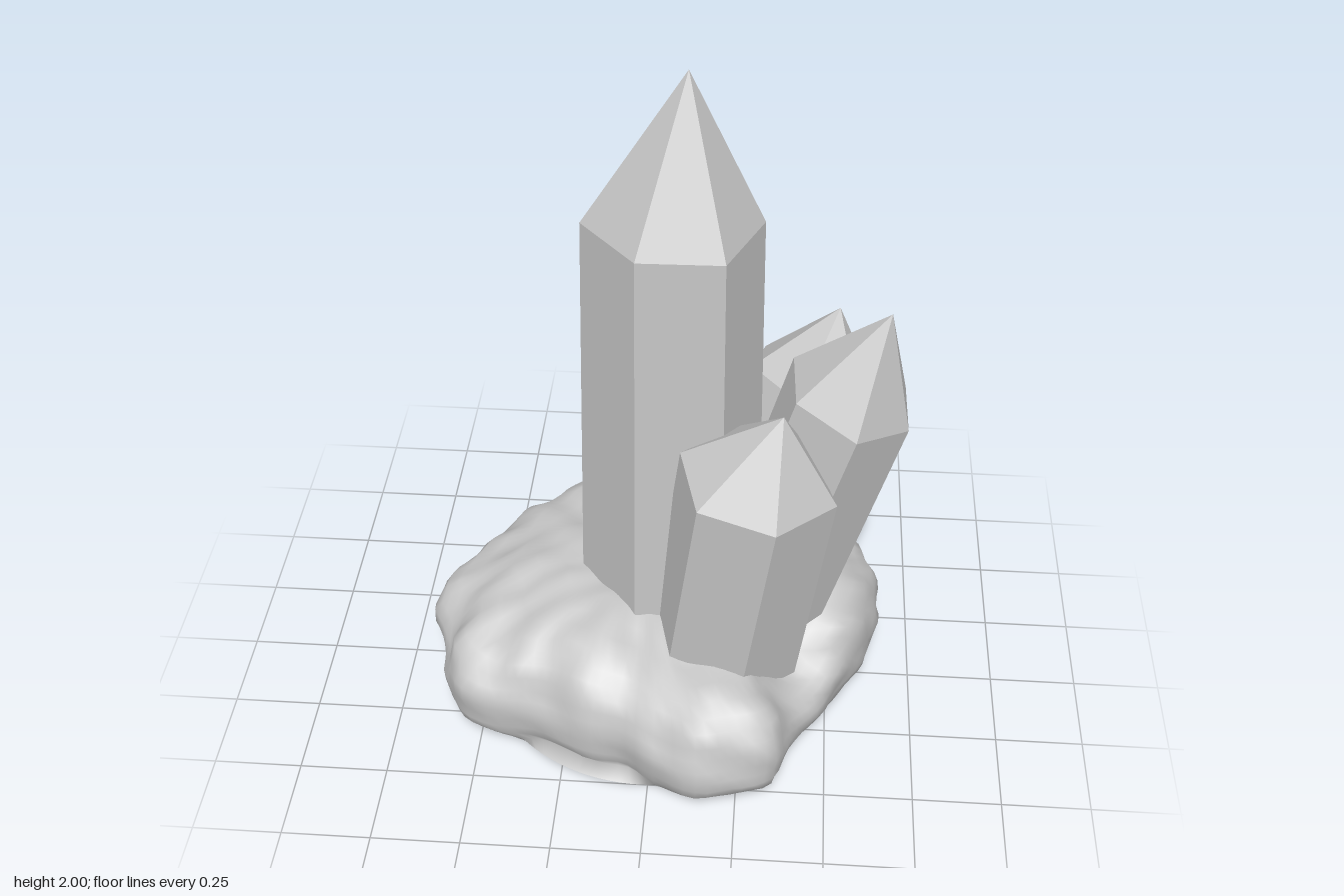
import * as THREE from 'three';

const stone = new THREE.MeshStandardMaterial({ color: 0xc6c6c6 });
stone.name = 'grey stone';

// Each crystal: apex, six shoulder corners, and the lean of its axis per unit of height
const crystals = [
  { name: 'mainCrystal', apex: [0.07, 2, 0], lean: [0, 0], flare: 1.08,
    ring: [[0.272, 1.57, -0.01], [0.18, 1.57, 0.21], [-0.05, 1.57, 0.215],
      [-0.207, 1.57, 0.03], [-0.08, 1.57, -0.19], [0.155, 1.57, -0.21]] },
  { name: 'frontCrystal', apex: [0.34, 1.18, 0.305], lean: [0.125, 0.125], flare: 1,
    ring: [[0.49, 0.915, 0.33], [0.333, 0.915, 0.468], [0.125, 0.95, 0.425],
      [0.07, 1.0, 0.24], [0.22, 1.0, 0.11], [0.42, 0.96, 0.16]] },
  { name: 'sideCrystal', apex: [0.605, 1.41, 0.155], lean: [0.27, 0.085], flare: 1,
    ring: [[0.67, 1.06, 0.18], [0.53, 1.1, 0.3], [0.37, 1.17, 0.23],
      [0.36, 1.19, 0.05], [0.505, 1.14, -0.065], [0.667, 1.065, -0.01]] },
  { name: 'backCrystal', apex: [0.49, 1.09, -0.35], lean: [0.27, -0.2], flare: 1,
    ring: [[0.555, 0.875, -0.185], [0.38, 0.91, -0.13], [0.245, 0.93, -0.27],
      [0.28, 0.875, -0.455], [0.455, 0.83, -0.5], [0.597, 0.83, -0.365]] },
];

// Faceted six-sided prism with a pointed tip, rooted inside the rock
function makeCrystal({ name, apex, ring, lean, flare }) {
  const baseY = 0.15;
  const cx = ring.reduce((s, p) => s + p[0], 0) / 6;
  const cz = ring.reduce((s, p) => s + p[2], 0) / 6;
  const foot = ring.map(([x, y, z]) => [
    cx + (x - cx) * flare - lean[0] * (y - baseY), baseY,
    cz + (z - cz) * flare - lean[1] * (y - baseY)]);
  const pos = [];
  for (let i = 0; i < 6; i++) {
    const j = (i + 1) % 6;
    pos.push(...ring[i], ...apex, ...ring[j]);
    pos.push(...foot[i], ...ring[i], ...ring[j], ...foot[i], ...ring[j], ...foot[j]);
  }
  const geo = new THREE.BufferGeometry();
  geo.setAttribute('position', new THREE.Float32BufferAttribute(pos, 3));
  geo.computeVertexNormals(); // unshared corners give flat facets
  const mesh = new THREE.Mesh(geo, stone);
  mesh.name = name;
  return mesh;
}

// Rock plan, as x and z, running from the left side through the front
const outline = [[0.64, -0.05], [0.6, 0.1], [0.5, 0.25], [0.4, 0.42], [0.36, 0.55],
  [0.23, 0.6], [0.13, 0.62], [0.03, 0.575], [-0.07, 0.51], [-0.19, 0.48], [-0.335, 0.415],
  [-0.49, 0.395], [-0.595, 0.3], [-0.62, 0.15], [-0.67, 0.02], [-0.59, -0.15],
  [-0.53, -0.24], [-0.45, -0.37], [-0.34, -0.48], [-0.23, -0.545], [-0.08, -0.57],
  [-0.015, -0.61], [0.18, -0.625], [0.29, -0.63], [0.4, -0.555], [0.46, -0.44],
  [0.6, -0.28], [0.63, -0.2]];

// Rock side profile above the round foot: share of the plan, height
const profile = [[0.91, 0.035], [0.965, 0.075], [0.985, 0.11], [0.995, 0.15], [1, 0.19],
  [0.99, 0.23], [0.97, 0.265], [0.935, 0.3], [0.885, 0.33], [0.82, 0.355], [0.74, 0.372],
  [0.64, 0.385], [0.53, 0.395], [0.42, 0.4], [0.3, 0.4], [0.15, 0.4]];

const lumps = (x, y, z) =>
  Math.sin(13 * x + 5 * z + 12 * y + 1) * Math.sin(12 * z - 4 * x + 17 * y) * 0.5 +
  Math.sin(23 * x + 24 * y - 8 * z + 2) * Math.sin(21 * z + 9 * x - 19 * y) * 0.4 +
  Math.sin(41 * x + 15 * z - 33 * y) * Math.sin(38 * z - 12 * x + 29 * y + 1) * 0.25;

// Lumpy surface point: lower at the front and right, with a hollow below the front crystals
function rockPoint(px, pz, [share, h]) {
  const { smoothstep } = THREE.MathUtils;
  let x = px * share, z = pz * share;
  const n = lumps(x, h, z);
  const slope = 0.12 * smoothstep(z, 0.1, 0.5) + 0.06 * smoothstep(-x, 0.2, 0.55);
  const hollow = 0.32 * Math.exp(-((x - 0.42) ** 2 + (z - 0.27) ** 2) / 0.02);
  const y = h * (1.04 - slope - hollow + n * 0.06);
  const swell = 1 + n * 0.028;
  x *= swell;
  z *= swell;
  if (z > 0.3) z += (0.1 - h) * 0.25 * (z - 0.3);
  return [x, y, z];
}

function makeRock() {
  const curve = new THREE.CatmullRomCurve3(
    outline.map(([x, z]) => new THREE.Vector3(x, 0, z)), true);
  const count = 120;
  const plan = curve.getSpacedPoints(count).slice(0, count);

  // Round foot on the ground
  const foot = plan.map(p => {
    const a = Math.atan2(p.z, p.x);
    return new THREE.Vector2(0.49 * Math.cos(a) - 0.02, 0.49 * Math.sin(a) + 0.01);
  });

  const pos = foot.flatMap(p => [p.x, 0, p.y]);
  const index = [];
  for (const level of profile) {
    for (const p of plan) pos.push(...rockPoint(p.x, p.z, level));
  }
  const top = pos.length / 3;
  pos.push(...rockPoint(0, 0, [0, 0.4]));
  for (let r = 0; r <= profile.length; r++) {
    for (let i = 0; i < count; i++) {
      const j = (i + 1) % count;
      const a = r * count + i, b = r * count + j;
      if (r === profile.length) index.push(a, top, b);
      else index.push(a, a + count, b + count, a, b + count, b);
    }
  }
  const geo = new THREE.BufferGeometry();
  geo.setAttribute('position', new THREE.Float32BufferAttribute(pos, 3));
  geo.setIndex(index);
  geo.computeVertexNormals();
  const body = new THREE.Mesh(geo, stone);
  body.name = 'rockBody';

  // Flat underside, facing down
  const under = new THREE.Mesh(
    new THREE.ShapeGeometry(new THREE.Shape(foot)).rotateX(Math.PI / 2), stone);
  under.name = 'rockUnderside';

  const rock = new THREE.Group();
  rock.name = 'rock';
  rock.add(body, under);
  return rock;
}

export function createModel() {
  const model = new THREE.Group();
  model.name = 'crystalCluster';
  model.add(makeRock(), ...crystals.map(makeCrystal));
  return model;
}
